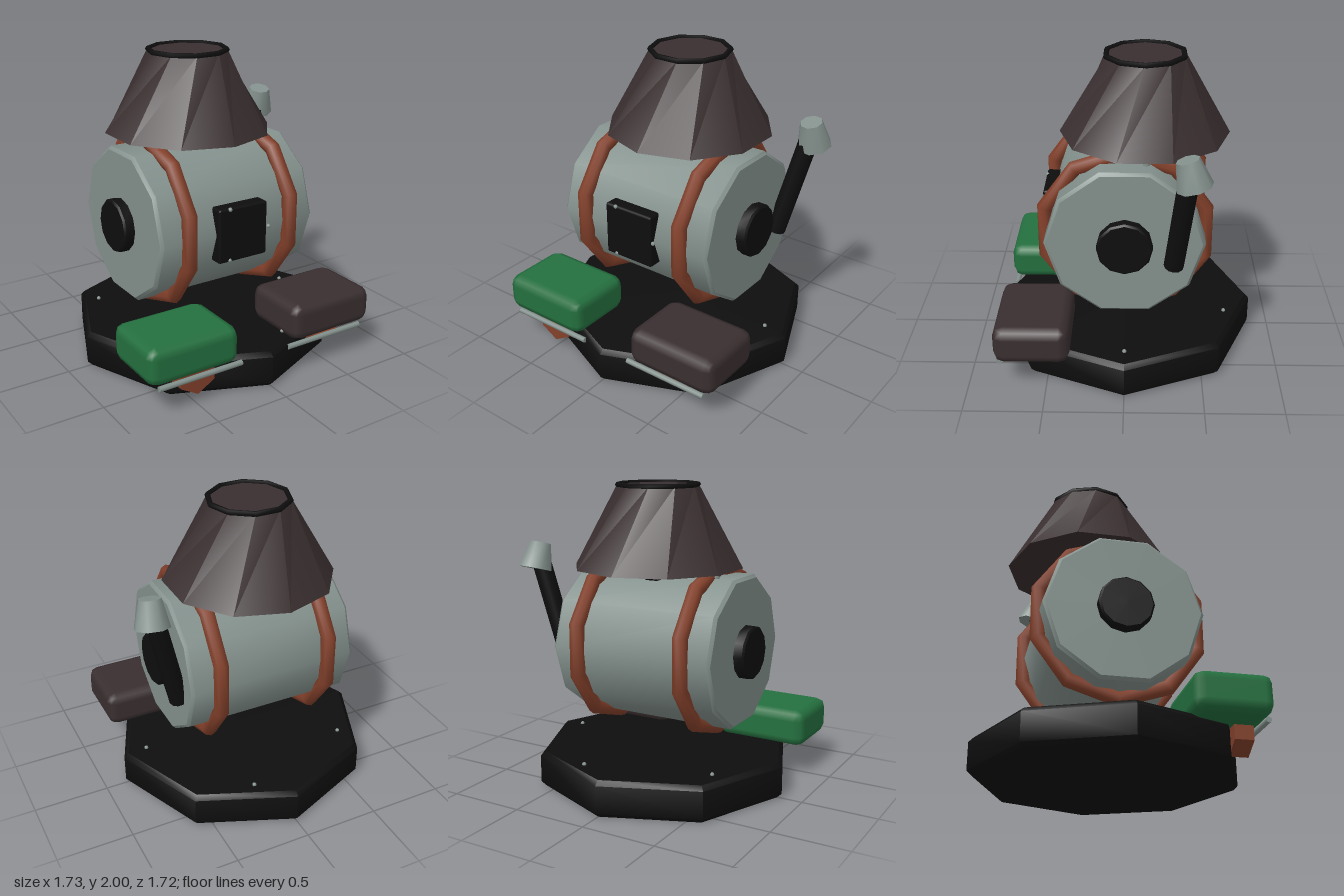
import * as THREE from 'three';
import { toCreasedNormals } from 'three/addons/utils/BufferGeometryUtils.js';
import { RoundedBoxGeometry } from 'three/addons/geometries/RoundedBoxGeometry.js';

const mat = (name, color) => {
  const m = new THREE.MeshStandardMaterial({ color });
  m.name = name;
  return m;
};

export function createModel() {
  const root = new THREE.Group();
  const black = mat('black', 0x0e0e0e);
  const steel = mat('steel', 0x84918d);
  const brown = mat('brown', 0x3a2f30);
  const rust = mat('rust', 0x83402a);
  const green = mat('green', 0x24703f);

  const add = (name, geo, material, x = 0, y = 0, z = 0) => {
    const m = new THREE.Mesh(geo, material);
    m.name = name;
    m.position.set(x, y, z);
    root.add(m);
    return m;
  };

  // Closed drum with bevelled rims, standing on y = 0
  const drum = (r, h, bevel, sides, crease) => toCreasedNormals(new THREE.LatheGeometry([
    [0, 0], [r - bevel, 0], [r, bevel], [r, h - bevel], [r - bevel, h], [0, h],
  ].map(([x, y]) => new THREE.Vector2(x, y)), sides), crease);

  // Lay an upright shape along x
  const alongX = (geo) => geo.rotateZ(-Math.PI / 2);

  // Rod between two points
  const rod = (name, a, b, r, material, sides = 10) => {
    const dir = b.clone().sub(a);
    const m = add(name, new THREE.CylinderGeometry(r, r, dir.length(), sides), material);
    m.position.copy(a).add(b).multiplyScalar(0.5);
    m.quaternion.setFromUnitVectors(new THREE.Vector3(0, 1, 0), dir.normalize());
    return m;
  };

  // Octagonal base with five rivets
  add('base', drum(0.86, 0.24, 0.03, 8, 0.82), black);
  const rivet = new THREE.SphereGeometry(0.014, 8, 6);
  for (let i = 0; i < 5; i++) {
    const a = (i * Math.PI * 2) / 5;
    add('baseRivet', rivet, steel, 0.7 * Math.cos(a), 0.245, 0.7 * Math.sin(a));
  }

  // Ten-sided barrel lying along x
  add('barrel', alongX(drum(0.503, 1.14, 0.02, 10, 0.7)), steel, -0.58, 0.938, 0);

  // Hoops around the barrel
  for (const x of [-0.387, 0.367]) {
    const hoop = new THREE.TorusGeometry(0.53, 0.05, 8, 10);
    hoop.rotateZ(Math.PI / 2).rotateY(Math.PI / 2);
    add('hoop', hoop, rust, x, 0.938, 0);
  }

  // End hubs
  add('rightHub', alongX(drum(0.174, 0.1, 0.012, 12, 0.7)), black, -0.65, 0.938, 0);
  add('leftHub', alongX(drum(0.174, 0.1, 0.012, 12, 0.7)), black, 0.53, 0.938, 0);

  // Front hatch and its rivets
  add('hatch', new RoundedBoxGeometry(0.36, 0.355, 0.12, 1, 0.015), black, -0.01, 0.935, 0.475);
  for (const [x, y] of [[-0.11, 1.105], [-0.11, 0.77], [0.185, 0.938]]) {
    add('hatchRivet', rivet, steel, x, y, 0.53);
  }

  // Neck and posts carrying the hood
  add('neck', drum(0.11, 0.12, 0.015, 12, 0.7), black, -0.01, 1.38, -0.12);
  for (const x of [-0.435, 0.425]) {
    add('hoodPost', new THREE.CylinderGeometry(0.022, 0.022, 0.1, 8), steel, x, 1.43, -0.13);
  }

  // Conical hood, its upper edge turned by half a facet
  let hood = new THREE.CylinderGeometry(0.26, 0.55, 0.52, 10, 1);
  const p = hood.attributes.position;
  const v = new THREE.Vector3();
  const up = new THREE.Vector3(0, 1, 0);
  for (let i = 0; i < p.count; i++) {
    v.fromBufferAttribute(p, i);
    if (v.y > 0) v.applyAxisAngle(up, Math.PI / 10);
    p.setXYZ(i, v.x, v.y, v.z);
  }
  add('hood', toCreasedNormals(hood, 0.75), brown, -0.01, 1.723, -0.12);
  add('hoodRim', new THREE.TorusGeometry(0.255, 0.018, 6, 10).rotateX(Math.PI / 2), black, -0.01, 1.982, -0.12);

  // Leaning side pipe with a fluted cap
  rod('sidePipe', new THREE.Vector3(0.57, 0.8, -0.305), new THREE.Vector3(0.735, 1.47, -0.375), 0.063, black, 12);
  const cap = add('pipeCap', toCreasedNormals(new THREE.CylinderGeometry(0.072, 0.112, 0.175, 8), 0.85), steel, 0.752, 1.508, -0.385);
  cap.rotation.set(0.26, 0.2, 0.05);

  // Cushioned blocks on the front with a rail under each
  for (const [name, x, material] of [['rightBlock', -0.535, green], ['leftBlock', 0.515, brown]]) {
    add(name, new RoundedBoxGeometry(0.63, 0.245, 0.48, 1, 0.065), material, x, 0.343, 0.582);
    const railX = x < 0 ? -0.485 : 0.465;
    rod(name + 'Rail', new THREE.Vector3(railX - 0.295, 0.2, 0.79), new THREE.Vector3(railX + 0.295, 0.2, 0.79), 0.018, steel, 8);
  }

  // Brackets below the blocks
  const plate = (pts, depth) => new THREE.ExtrudeGeometry(
    new THREE.Shape(pts.map(([x, y]) => new THREE.Vector2(x, y))), { depth, bevelEnabled: false });
  add('rightBracket', plate([[-0.61, 0.13], [-0.49, 0.06], [-0.37, 0.13], [-0.37, 0.23], [-0.61, 0.23]], 0.12), rust, 0, 0, 0.64);
  const wedge = plate([[-0.78, 0.21], [-0.68, 0.12], [-0.6, 0.12], [-0.6, 0.21]], 0.2).rotateY(Math.PI / 2);
  add('leftBracket', wedge, rust, 0.39, 0, 0);

  return root;
}
